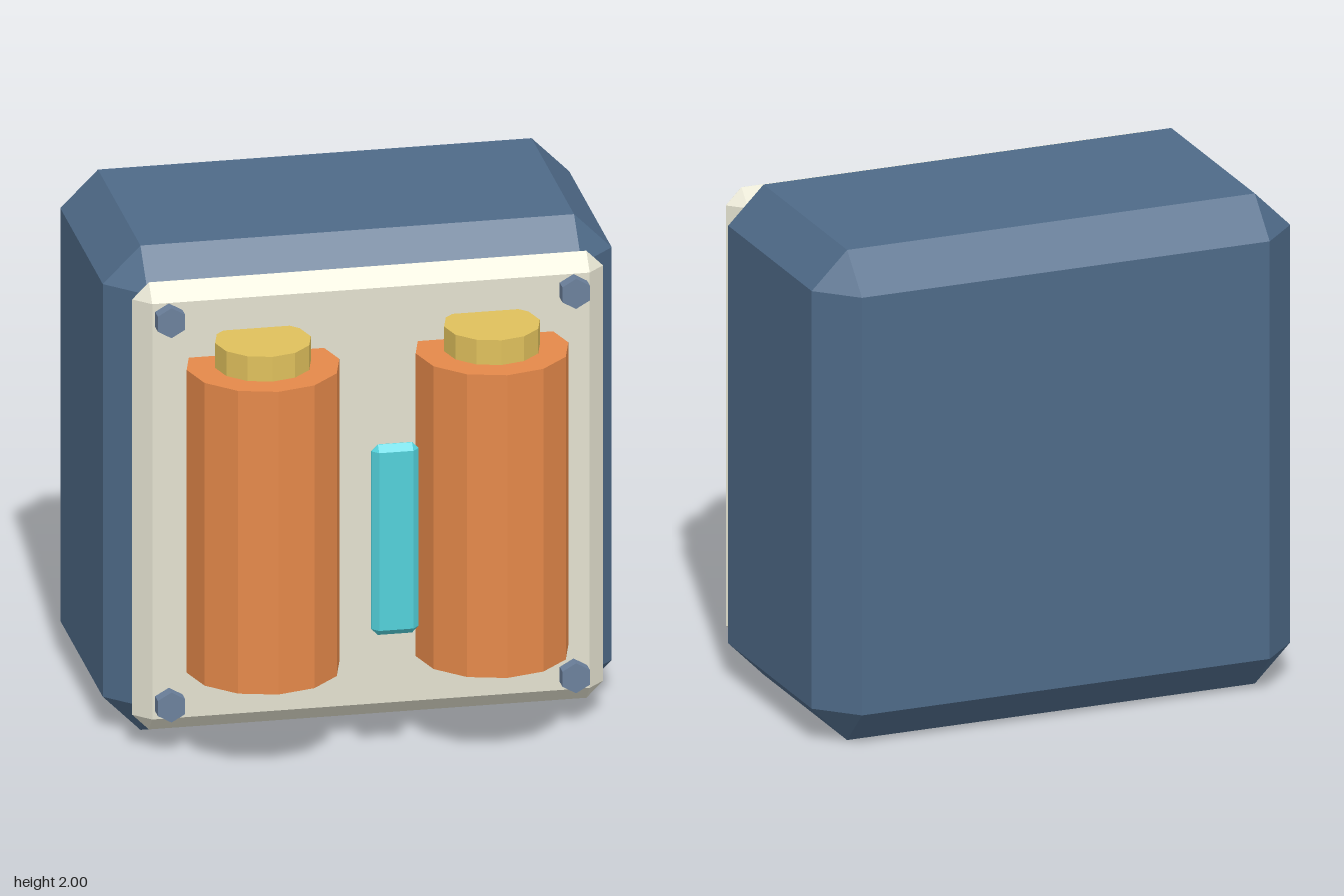
import * as THREE from 'three';
import { ConvexGeometry } from 'three/addons/geometries/ConvexGeometry.js';

const paint = (color) => {
  const m = new THREE.MeshStandardMaterial({ flatShading: true });
  m.color.set(color);
  return m;
};

// Box with every edge cut by a flat chamfer c
function chamferBox(w, h, d, c) {
  const points = [];
  for (const sx of [-1, 1]) for (const sy of [-1, 1]) for (const sz of [-1, 1]) {
    const x = w / 2, y = h / 2, z = d / 2;
    points.push(
      new THREE.Vector3(sx * x, sy * (y - c), sz * (z - c)),
      new THREE.Vector3(sx * (x - c), sy * y, sz * (z - c)),
      new THREE.Vector3(sx * (x - c), sy * (y - c), sz * z));
  }
  return new ConvexGeometry(points);
}

export function createModel() {
  const model = new THREE.Group();
  model.name = 'backpackUnit';
  const add = (name, geometry, material, x, y, z) => {
    const mesh = new THREE.Mesh(geometry, material);
    mesh.name = name;
    mesh.position.set(x, y, z);
    model.add(mesh);
    return mesh;
  };

  const blue = paint(0x4e6a88), cream = paint(0xe3e1cf), orange = paint(0xe5894a);
  const gold = paint(0xdfc05c), cyan = paint(0x52d0da), steel = paint(0x6b809c);

  // Housing and front plate
  add('housing', chamferBox(2, 2, 1.126, 0.148), blue, 0, 1, -0.307);
  add('frontPlate', chamferBox(1.85, 1.846, 0.132, 0.0655), cream, 0, 1.002, 0.31);

  // Pair of canisters with caps, sunk into the plate
  const canister = new THREE.CylinderGeometry(0.3, 0.3, 1.25, 12);
  const cap = new THREE.CylinderGeometry(0.188, 0.188, 0.12, 12);
  for (const side of [-1, 1]) {
    const label = side > 0 ? 'left' : 'right';
    add(label + 'Canister', canister, orange, side * 0.45, 1.003, 0.503);
    add(label + 'CanisterCap', cap, gold, side * 0.45, 1.67, 0.503);
  }

  // Glowing strip in front of the canisters
  add('lightStrip', chamferBox(0.186, 0.786, 0.055, 0.026), cyan, 0, 1.004, 0.8435);

  // Hexagonal corner bolts
  const bolt = new THREE.CylinderGeometry(0.062, 0.062, 0.053, 6).rotateX(Math.PI / 2);
  for (const x of [-0.795, 0.795]) for (const y of [0.21, 1.797])
    add('cornerBolt', bolt, steel, x, y, 0.405);

  return model;
}
